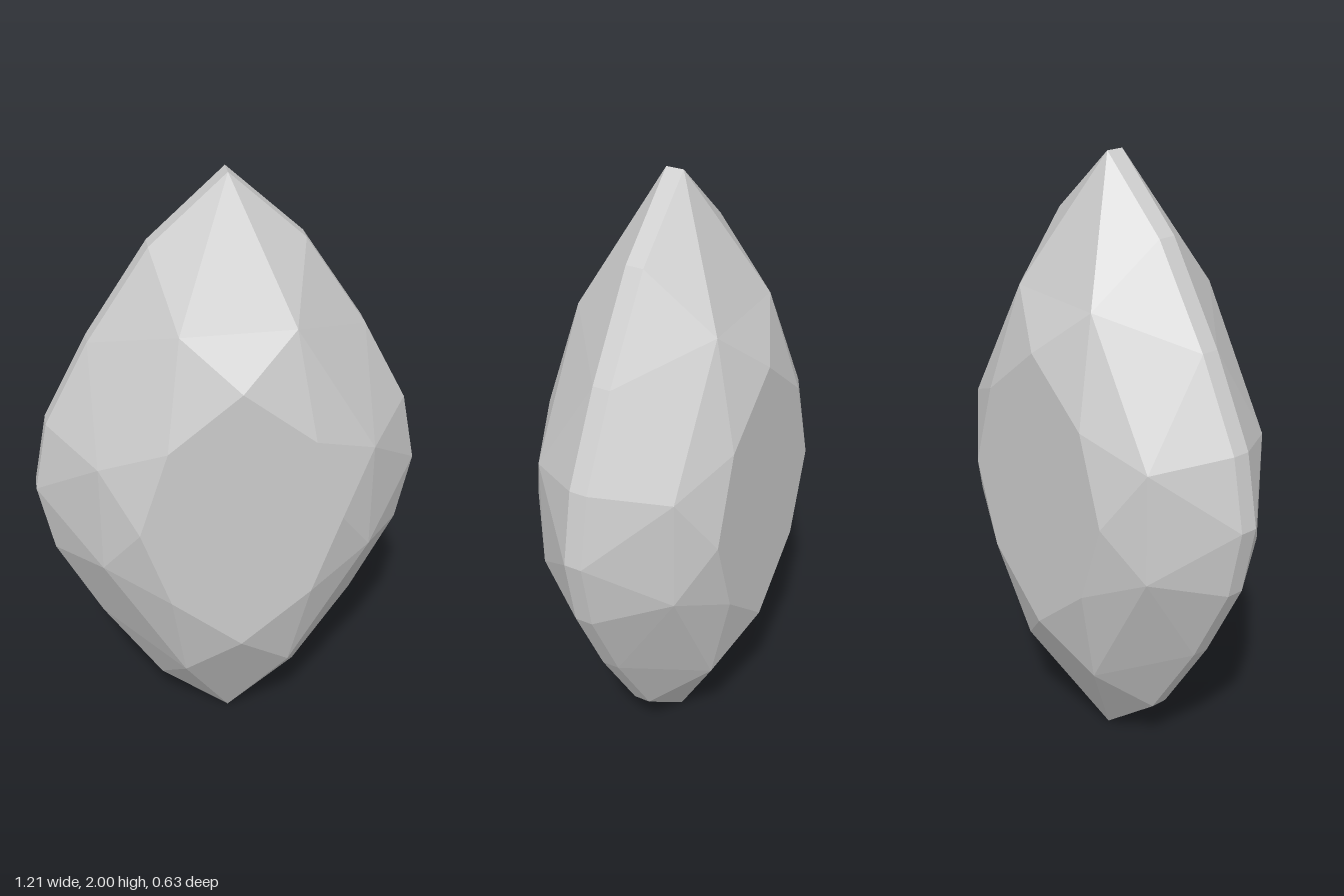
import * as THREE from 'three';

// Counter-clockwise ring from points listed on the -x side, top to bottom, mirrored onto +x
function ring(half, z) {
  const mirrored = half.filter(([x]) => x !== 0).reverse().map(([x, y]) => [-x, y]);
  return [...half, ...mirrored].map(([x, y]) => new THREE.Vector3(x, y, z));
}

const girdleHalf = [[0, 2], [-0.23, 1.79], [-0.42, 1.5], [-0.56, 1.23], [-0.605, 1],
  [-0.56, 0.77], [-0.42, 0.49], [-0.23, 0.19], [0, 0]];
const girdle = ring(girdleHalf, 0.028);
const shoulder = ring([[-0.17, 1.6], [-0.42, 1.18], [-0.42, 0.82], [-0.17, 0.37]], 0.23);
const table = ring([[0, 1.45], [-0.22, 1.27], [-0.31, 0.99], [-0.22, 0.72], [0, 0.53]], 0.317);

function facetMesh(name, triangles, material) {
  const geometry = new THREE.BufferGeometry().setFromPoints(triangles.flat());
  geometry.computeVertexNormals();
  const mesh = new THREE.Mesh(geometry, material);
  mesh.name = name;
  return mesh;
}

// One faceted half: flat table, star, kite and girdle facets
function crownTriangles() {
  const tris = [];
  for (let k = 0; k < 8; k++) {
    const t = table[k], tNext = table[(k + 1) % 8];
    const m = shoulder[k], mPrev = shoulder[(k + 7) % 8];
    const g = girdle[2 * k], gMid = girdle[2 * k + 1], gNext = girdle[(2 * k + 2) % 16];
    tris.push([new THREE.Vector3(0, 0.99, 0.317), t, tNext]); // table
    tris.push([t, m, tNext]);                                // star
    tris.push([t, mPrev, m], [mPrev, g, m]);                 // kite
    tris.push([m, g, gMid], [m, gMid, gNext]);               // girdle facets
  }
  return tris;
}

export function createModel() {
  const gem = new THREE.Group();
  gem.name = 'marquiseGem';
  const material = new THREE.MeshStandardMaterial({ color: 0xcccccc, flatShading: true });

  // Front half and its mirror image, with corner order reversed
  const front = crownTriangles();
  const flip = (v) => new THREE.Vector3(v.x, v.y, -v.z);
  const back = front.map(([a, b, c]) => [flip(a), flip(c), flip(b)]);
  gem.add(facetMesh('frontFacets', front, material));
  gem.add(facetMesh('backFacets', back, material));

  // Thin band joining the halves
  const band = [];
  girdle.forEach((a, i) => {
    const b = girdle[(i + 1) % girdle.length];
    band.push([a, flip(a), b], [b, flip(a), flip(b)]);
  });
  gem.add(facetMesh('girdleBand', band, material));
  return gem;
}
